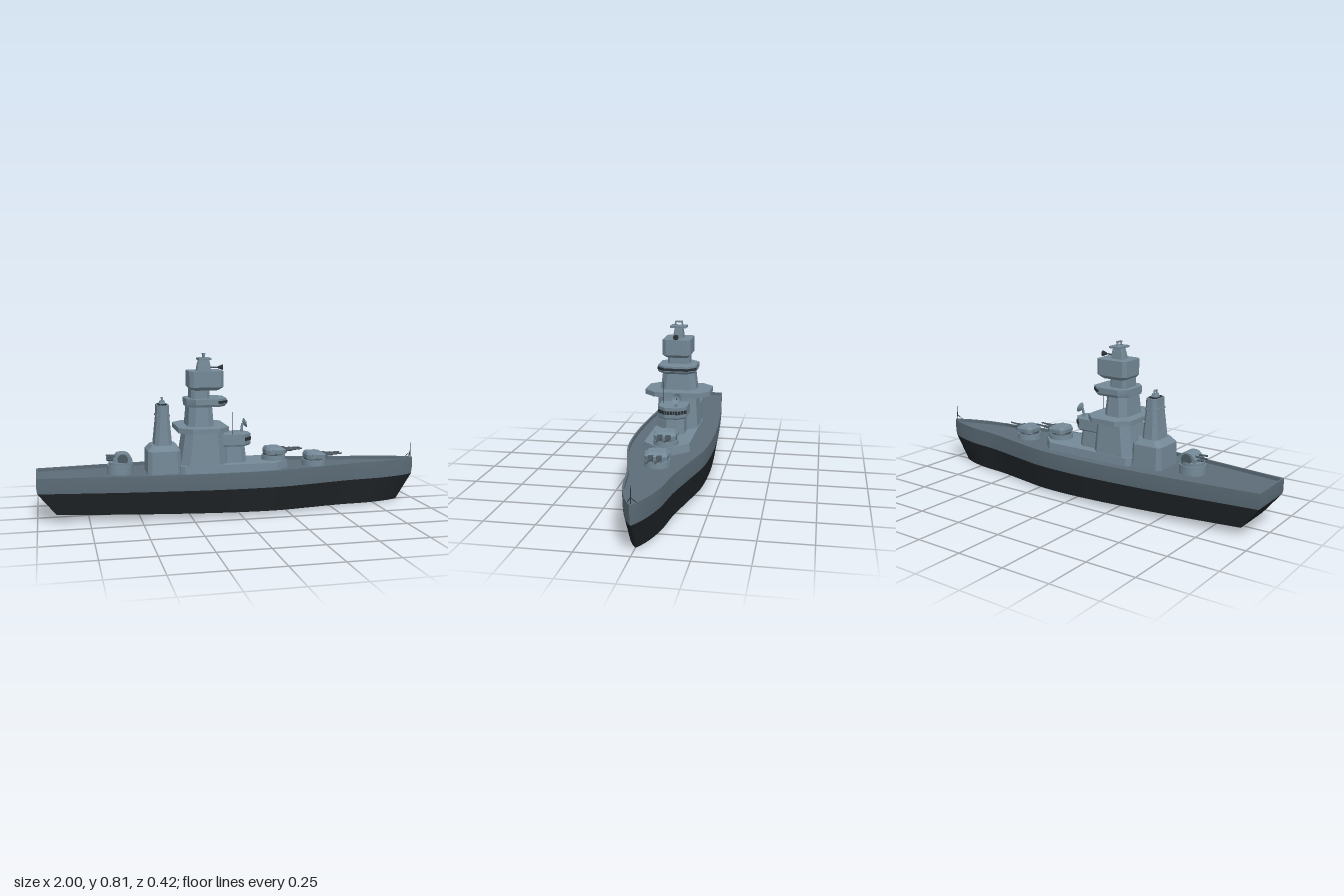
import * as THREE from 'three';
import { toCreasedNormals } from 'three/addons/utils/BufferGeometryUtils.js';

const HULL = 0x5c6c77, KEEL = 0x1e2326, STEEL = 0x748997, DARK = 0x2a3137, GUN = 0x4d5a63;

const materials = {};
function mat(color) {
  return materials[color] ??= new THREE.MeshStandardMaterial({ color, side: THREE.DoubleSide });
}

function add(parent, name, geo, color, x = 0, y = 0, z = 0) {
  const m = new THREE.Mesh(geo, mat(color));
  m.name = name;
  m.position.set(x, y, z);
  parent.add(m);
  return m;
}

// Skin stacked rings of [x, y, z] points, closing both ends with fans
function loft(rings, capBottom = true, capTop = true) {
  const pos = [], n = rings[0].length;
  const tri = (...p) => p.forEach(v => pos.push(...v));
  for (let k = 0; k < rings.length - 1; k++)
    for (let i = 0; i < n; i++) {
      const j = (i + 1) % n, lo = rings[k], hi = rings[k + 1];
      tri(lo[i], hi[i], lo[j]);
      tri(lo[j], hi[i], hi[j]);
    }
  const mid = r => [0, 1, 2].map(a => r.reduce((s, p) => s + p[a], 0) / n);
  const cap = (r, up) => {
    const c = mid(r);
    for (let i = 0; i < n; i++) {
      const j = (i + 1) % n;
      up ? tri(c, r[j], r[i]) : tri(c, r[i], r[j]);
    }
  };
  if (capBottom) cap(rings[0], false);
  if (capTop) cap(rings[rings.length - 1], true);
  const g = new THREE.BufferGeometry();
  g.setAttribute('position', new THREE.Float32BufferAttribute(pos, 3));
  return toCreasedNormals(g, 0.4);
}

// Rectangle with clipped corners: height, aft x, fore x, half width, fore clip, aft clip
function ring(y, x0, x1, h, cf = 0.005, cb = cf) {
  return [[x1, cf - h], [x1, h - cf], [x1 - cf, h], [x0 + cb, h],
    [x0, h - cb], [x0, cb - h], [x0 + cb, -h], [x1 - cf, -h]].map(([x, z]) => [x, y, z]);
}
const block = (...sections) => loft(sections.map(s => ring(...s)));

// Dark panes along the front faces of a clipped rectangle
function windows(parent, r, count, height) {
  for (const [a, b, n] of [[r[0], r[1], count], [r[1], r[2], 3], [r[7], r[0], 3]]) {
    const dx = b[0] - a[0], dz = b[2] - a[2], len = Math.hypot(dx, dz);
    for (let i = 0; i < n; i++) {
      const t = (i + 0.5) / n;
      const pane = add(parent, 'windowPane', new THREE.BoxGeometry(len / n * 0.78, height, 0.004),
        DARK, a[0] + dx * t, a[1], a[2] + dz * t);
      pane.rotation.y = -Math.atan2(dz, dx);
    }
  }
}

function rod(parent, name, a, b, r, color, r2 = r, sides = 8) {
  const p = new THREE.Vector3(...a), d = new THREE.Vector3(...b).sub(p);
  const m = add(parent, name, new THREE.CylinderGeometry(r2, r, d.length(), sides), color);
  m.position.copy(p).addScaledVector(d, 0.5);
  m.quaternion.setFromUnitVectors(new THREE.Vector3(0, 1, 0), d.normalize());
  return m;
}

function buildHull(root) {
  // Half-breadth along the deck, [x, z]
  const side = new THREE.SplineCurve([[-1, 0.13], [-0.6, 0.175], [-0.3, 0.199], [-0.05, 0.208],
    [0.2, 0.196], [0.4, 0.155], [0.6, 0.11], [0.78, 0.085], [0.9, 0.052], [0.97, 0.022], [1, 0.003]]
    .map(p => new THREE.Vector2(...p))).getPoints(44);
  const outline = (yOf, sx, sz, inset = 0) => {
    const pts = side.map(p => [p.x * sx, Math.max(p.y * sz - inset, 0.001)]);
    if (inset) pts.forEach(p => { p[0] *= 1 - inset; });
    const both = [...pts].reverse().map(([x, z]) => [x, z])
      .concat(pts.map(([x, z]) => [x, -z]));
    return both.map(([x, z]) => [x, yOf(x), z]);
  };
  const water = x => 0.143 - 0.007 * x, bottom = x => 0.02 - 0.02 * x / 0.91;
  const top = () => 0.227, deck = () => 0.21;
  add(root, 'lowerHull', loft([outline(bottom, 0.908, 0.89), outline(water, 0.996, 0.985)], true, false), KEEL);
  add(root, 'upperHull', loft([outline(water, 0.996, 0.985), outline(() => 0.17, 1, 1), outline(top, 1, 1),
    outline(top, 1, 1, 0.009), outline(deck, 1, 1, 0.009)], false, true), HULL);
  // Bow staff with stays
  const staff = new THREE.Group();
  staff.name = 'bowStaff';
  root.add(staff);
  rod(staff, 'pole', [0.988, 0.21, 0], [0.988, 0.305, 0], 0.002, DARK);
  for (const s of [-1, 1]) rod(staff, 'stay', [0.965, 0.225, s * 0.02], [0.988, 0.255, 0], 0.0015, DARK);
}

// Twin-barrel turret facing the bow
function gunTurret(root, name, x, y) {
  const g = new THREE.Group();
  g.name = name;
  g.position.set(x, y, 0);
  root.add(g);
  add(g, 'barbette', new THREE.CylinderGeometry(0.062, 0.064, 0.036, 24), STEEL, 0, 0, 0);
  add(g, 'collar', new THREE.CylinderGeometry(0.054, 0.054, 0.014, 24), GUN, 0, 0.022, 0);
  add(g, 'gunhouse', block([0.024, -0.048, 0.056, 0.053, 0.016], [0.046, -0.05, 0.058, 0.055, 0.018],
    [0.06, -0.042, 0.034, 0.046, 0.014]), STEEL);
  for (const s of [-1, 1]) {
    const z = s * 0.02;
    add(g, 'gunPort', new THREE.BoxGeometry(0.02, 0.024, 0.024), GUN, 0.056, 0.04, z);
    rod(g, 'barrelSleeve', [0.05, 0.041, z], [0.1, 0.043, z], 0.0075, GUN);
    rod(g, 'barrel', [0.09, 0.043, z], [0.15, 0.046, z], 0.0055, GUN, 0.004);
    add(g, 'sightBox', new THREE.BoxGeometry(0.022, 0.012, 0.008), STEEL, -0.012, 0.045, s * 0.056);
  }
}

// Rounded turret facing the stern
function aftTurret(root) {
  const g = new THREE.Group();
  g.name = 'aftTurret';
  g.position.set(-0.588, 0, 0);
  root.add(g);
  add(g, 'barbette', new THREE.CylinderGeometry(0.064, 0.066, 0.05, 24), STEEL, 0, 0.23, 0);
  add(g, 'collar', new THREE.CylinderGeometry(0.058, 0.058, 0.018, 24), STEEL, 0, 0.262, 0);
  const s = new THREE.Shape().moveTo(-0.035, 0.265).lineTo(0.06, 0.265)
    .quadraticCurveTo(0.062, 0.314, 0.012, 0.316).lineTo(-0.012, 0.312).lineTo(-0.035, 0.288);
  const geo = new THREE.ExtrudeGeometry(s, { depth: 0.084, bevelEnabled: false, curveSegments: 8 });
  add(g, 'gunhouse', toCreasedNormals(geo, 0.5), STEEL, 0, 0, -0.042);
  for (const k of [-1, 1]) {
    add(g, 'sideArmour', new THREE.CylinderGeometry(0.026, 0.026, 0.012, 20), GUN, 0.01, 0.286, k * 0.046)
      .rotation.x = Math.PI / 2;
    for (const y of [0.282, 0.298])
      rod(g, 'barrel', [-0.01, y, k * 0.018], [-0.068, y + 0.002, k * 0.018], 0.005, GUN);
  }
}

function buildTower(root) {
  const g = new THREE.Group();
  g.name = 'mainTower';
  root.add(g);
  add(g, 'raisedDeck', block([0.205, -0.295, 0.28, 0.118, 0.075, 0.02], [0.25, -0.295, 0.275, 0.114, 0.075, 0.02]), STEEL);
  add(g, 'towerBase', block([0.21, -0.295, -0.055, 0.113, 0.04], [0.43, -0.26, -0.07, 0.098, 0.035]), STEEL);
  add(g, 'widePlatform', block([0.42, -0.305, -0.05, 0.172, 0.06], [0.445, -0.305, -0.05, 0.172, 0.06]), STEEL);
  add(g, 'towerMiddle', block([0.44, -0.25, -0.118, 0.096, 0.03], [0.55, -0.242, -0.125, 0.084, 0.03]), STEEL);
  add(g, 'upperBridge', block([0.543, -0.255, -0.06, 0.094, 0.04], [0.555, -0.255, -0.05, 0.1, 0.04],
    [0.583, -0.255, -0.05, 0.1, 0.04]), STEEL);
  add(g, 'viewingSlit', block([0.56, -0.14, -0.047, 0.102, 0.041], [0.573, -0.14, -0.047, 0.102, 0.041]), DARK);
  add(g, 'towerNeck', block([0.58, -0.23, -0.135, 0.059, 0.015], [0.635, -0.23, -0.135, 0.058, 0.015]), STEEL);
  add(g, 'topHouse', block([0.623, -0.225, -0.09, 0.058, 0.015], [0.64, -0.24, -0.065, 0.073, 0.018],
    [0.72, -0.24, -0.065, 0.073, 0.018]), STEEL);
  // Masthead
  add(g, 'mastBase', block([0.715, -0.195, -0.122, 0.026], [0.748, -0.19, -0.125, 0.023], [0.778, -0.182, -0.13, 0.018]), STEEL);
  add(g, 'mastPlatform', new THREE.BoxGeometry(0.065, 0.01, 0.086), STEEL, -0.156, 0.779, 0);
  for (const s of [-1, 1]) rod(g, 'mastLeg', [-0.156, 0.78, s * 0.022], [-0.156, 0.804, s * 0.015], 0.004, STEEL);
  add(g, 'mastBar', new THREE.BoxGeometry(0.012, 0.007, 0.038), STEEL, -0.156, 0.804, 0);
  // Forward horn on the top house
  rod(g, 'hornArm', [-0.125, 0.735, 0], [-0.08, 0.735, 0], 0.004, GUN);
  rod(g, 'horn', [-0.085, 0.735, 0], [-0.058, 0.735, 0], 0.004, DARK, 0.014, 16);
}

function buildBridge(root) {
  const g = new THREE.Group();
  g.name = 'forwardBridge';
  root.add(g);
  add(g, 'bridgeBase', block([0.24, -0.08, 0.06, 0.062, 0.03], [0.34, -0.08, 0.05, 0.056, 0.03]), STEEL);
  add(g, 'wheelhouse', block([0.335, -0.08, 0.076, 0.07, 0.04, 0.005], [0.342, -0.08, 0.08, 0.074, 0.04, 0.005],
    [0.396, -0.08, 0.08, 0.074, 0.04, 0.005]), STEEL);
  windows(g, ring(0.37, -0.08, 0.081, 0.075, 0.04, 0.005), 5, 0.018);
  rod(g, 'whipAntenna', [-0.02, 0.39, 0.057], [-0.02, 0.51, 0.057], 0.0015, DARK);
  // Dish on a pedestal, tipped upward
  rod(g, 'dishPedestal', [0.045, 0.39, -0.02], [0.05, 0.44, -0.026], 0.008, STEEL, 0.005);
  const dish = new THREE.Group();
  dish.name = 'radarDish';
  dish.position.set(0.053, 0.438, -0.026);
  dish.rotation.z = -1.25;
  g.add(dish);
  const bowl = [[0.0005, 0], [0.012, 0.003], [0.02, 0.008], [0.026, 0.015]].map(p => new THREE.Vector2(...p));
  add(dish, 'bowl', new THREE.LatheGeometry(bowl, 20), STEEL);
  rod(dish, 'feed', [0, 0, 0], [0, 0.022, 0], 0.002, DARK);
}

function buildFunnel(root) {
  const g = new THREE.Group();
  g.name = 'aftTower';
  root.add(g);
  add(g, 'deckhouse', block([0.205, -0.456, -0.285, 0.092, 0.02], [0.325, -0.454, -0.29, 0.09, 0.02],
    [0.352, -0.43, -0.305, 0.072, 0.02]), STEEL);
  add(g, 'stack', block([0.345, -0.418, -0.328, 0.066, 0.02], [0.5, -0.402, -0.34, 0.052, 0.016],
    [0.552, -0.402, -0.34, 0.05, 0.016]), STEEL);
  add(g, 'stackBand', block([0.496, -0.406, -0.336, 0.055, 0.017], [0.504, -0.406, -0.336, 0.055, 0.017]), STEEL);
  add(g, 'stackOpening', block([0.55, -0.394, -0.348, 0.038, 0.012], [0.556, -0.394, -0.348, 0.038, 0.012]), DARK);
  add(g, 'capBase', block([0.55, -0.39, -0.352, 0.022], [0.572, -0.382, -0.36, 0.016]), STEEL);
  for (const s of [-1, 1]) rod(g, 'capPost', [-0.371, 0.57, s * 0.014], [-0.371, 0.586, s * 0.008], 0.004, STEEL);
  add(g, 'capBar', new THREE.BoxGeometry(0.01, 0.006, 0.026), STEEL, -0.371, 0.586, 0);
}

export function createModel() {
  const root = new THREE.Group();
  root.name = 'battleship';
  buildHull(root);
  buildTower(root);
  buildBridge(root);
  buildFunnel(root);
  gunTurret(root, 'upperForeTurret', 0.213, 0.256);
  gunTurret(root, 'lowerForeTurret', 0.435, 0.222);
  aftTurret(root);
  return root;
}
